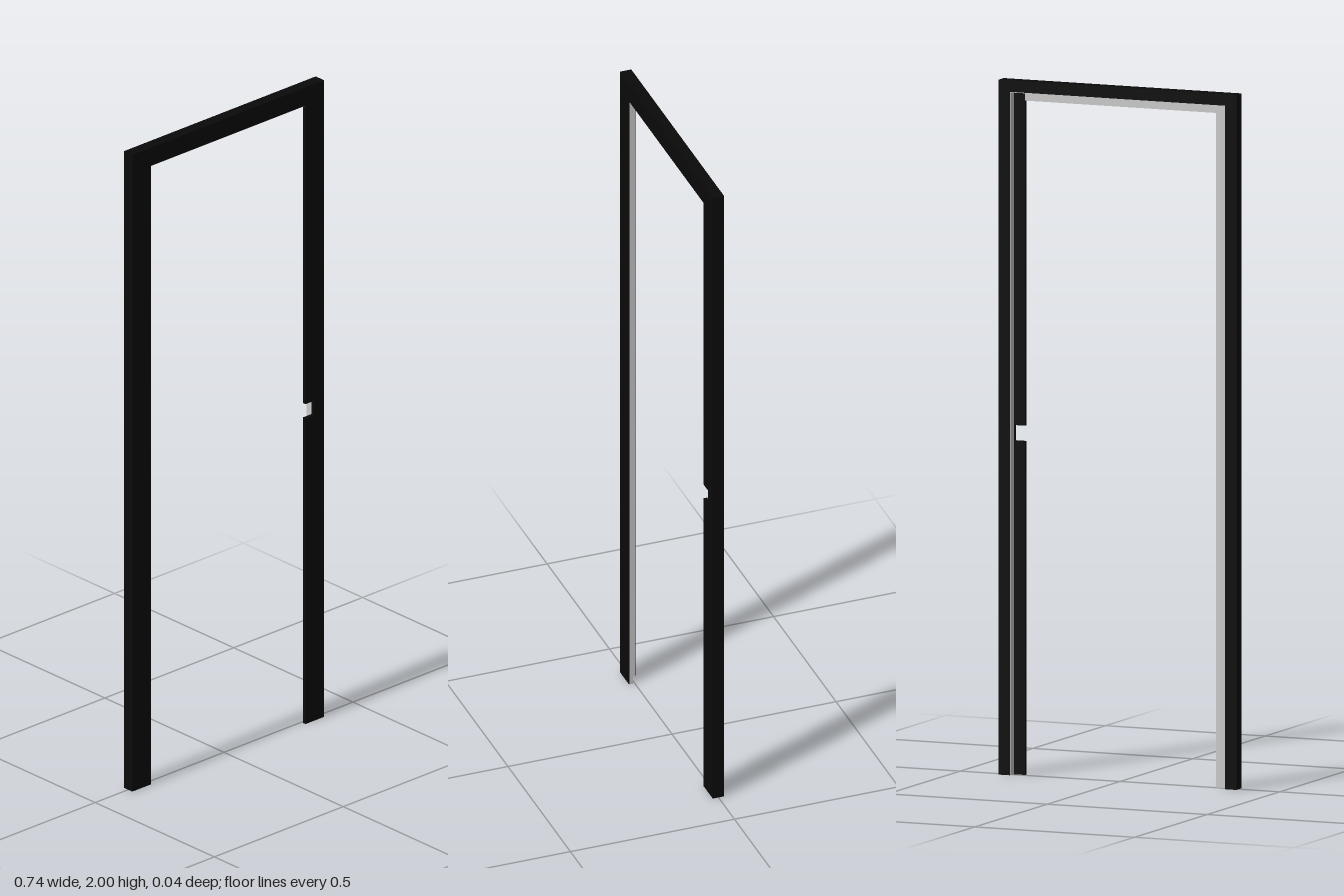
import * as THREE from 'three';

const W = 0.372, H = 2, D = 0.0175;      // half width, height, half depth
const LIP_X = 0.3, LIP_Y = 1.943;        // inner edge of the front lip
const REB_X = 0.337, REB_Y = 1.967;      // inner edge of the rebate
const STEP = 0.007;                      // z where lip meets rebate
const T = 0.002;                         // liner thickness

const black = new THREE.MeshStandardMaterial({ color: 0x0a0a0a });
const grey = new THREE.MeshStandardMaterial({ color: 0xcccccc });

// Upside-down U outline, optionally notched on the +x leg, extruded from z0 to z1
function portal(name, material, [ox, oy], [ix, iy], z0, z1, notch) {
  const points = [[-ox, 0], [-ix, 0], [-ix, iy], [ix, iy]];
  if (notch) {
    const { x, low, high } = notch;
    points.push([ix, high], [x, high], [x, low], [ix, low]);
  }
  points.push([ix, 0], [ox, 0], [ox, oy], [-ox, oy]);
  const shape = new THREE.Shape(points.map(([x, y]) => new THREE.Vector2(x, y)));
  const geometry = new THREE.ExtrudeGeometry(shape, { depth: z1 - z0, bevelEnabled: false });
  geometry.translate(0, 0, z0);
  const mesh = new THREE.Mesh(geometry, material);
  mesh.name = name;
  return mesh;
}

// Box given by its opposite corners
function strip(name, x0, x1, y0, y1, z0, z1) {
  const mesh = new THREE.Mesh(new THREE.BoxGeometry(x1 - x0, y1 - y0, z1 - z0), grey);
  mesh.position.set((x0 + x1) / 2, (y0 + y1) / 2, (z0 + z1) / 2);
  mesh.name = name;
  return mesh;
}

export function createModel() {
  const frame = new THREE.Group();
  frame.name = 'doorFrame';

  // Front casing with the latch cut-out, and the narrower frame behind it
  const notch = { x: 0.333, low: 0.96, high: 1.005 };
  frame.add(portal('frontCasing', black, [W, H], [LIP_X, LIP_Y], STEP, D, notch));
  frame.add(portal('rearFrame', black, [W, H], [REB_X, REB_Y], -D, STEP));

  // Grey lining on the rebate walls
  frame.add(portal('rebateLiner', grey, [REB_X, REB_Y], [REB_X - T, REB_Y - T], -D + T, STEP));

  // Grey lining on the door stop of the hinge jamb and the header
  frame.add(strip('hingeStopLiner', -REB_X + T, -LIP_X, 0, REB_Y - T, STEP - T, STEP));
  frame.add(strip('headerStopLiner', -LIP_X, LIP_X, LIP_Y, REB_Y - T, STEP - T, STEP));
  frame.add(strip('hingeEdgeLiner', -LIP_X, -LIP_X + T, 0, LIP_Y, STEP - T, D - T));
  frame.add(strip('headerEdgeLiner', -LIP_X, LIP_X, LIP_Y - T, LIP_Y, STEP - T, D - T));
  return frame;
}
